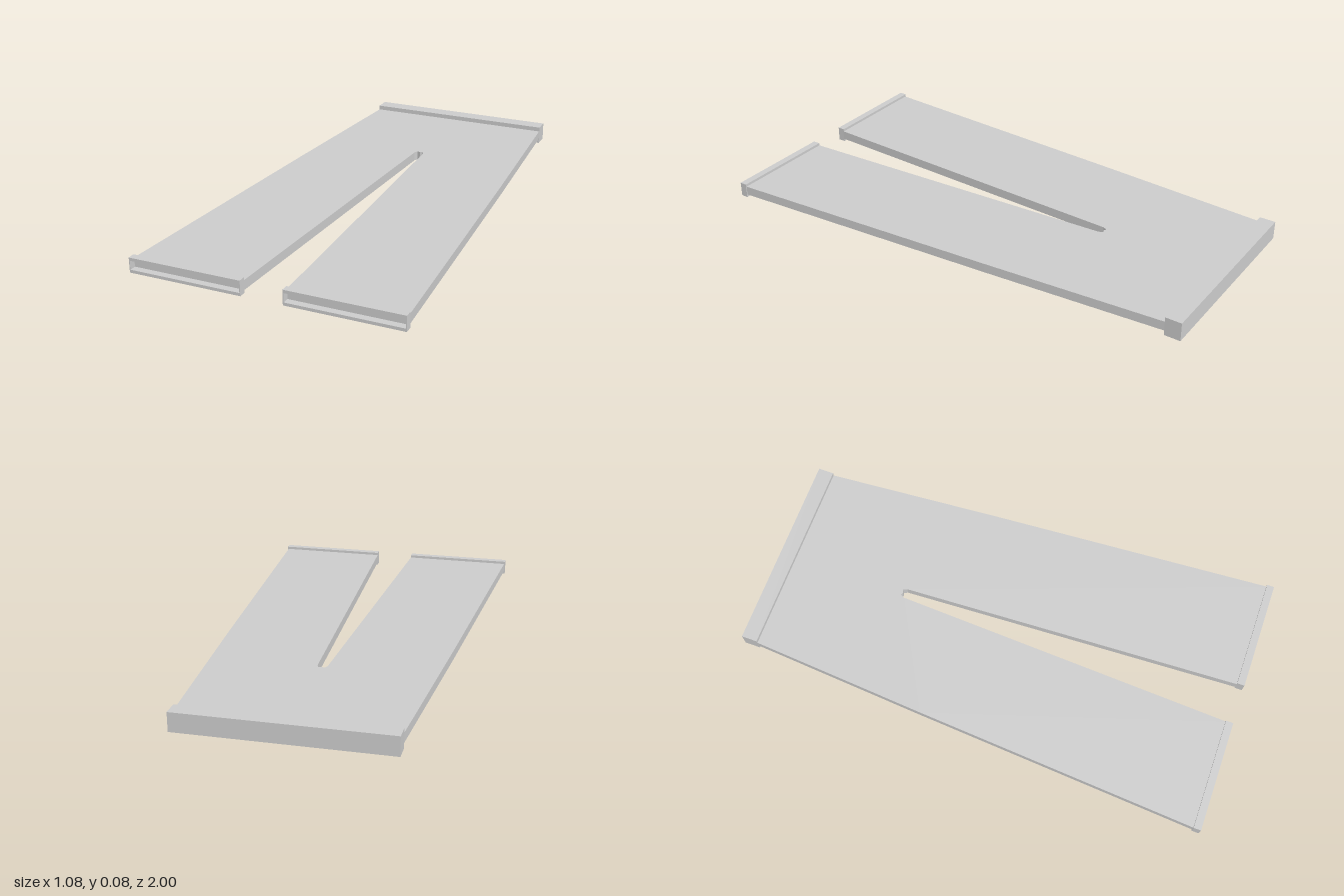
import * as THREE from 'three';

const MID_Y = 0.038; // mid height of the flat garment

export function createModel() {
  const group = new THREE.Group();
  const material = new THREE.MeshStandardMaterial({ color: 0xcccccc, flatShading: true });

  const add = (name, geometry, x, y, z) => {
    const mesh = new THREE.Mesh(geometry, material);
    mesh.name = name;
    mesh.position.set(x, y, z);
    group.add(mesh);
    return mesh;
  };

  // Flat trouser body: half outline as [x, z], mirrored across the centre
  const half = [[0, -0.452], [0.012, -0.457], [0.02, -0.44], [0.083, 0.972],
    [0.537, 0.972], [0.461, -0.2], [0.408, -0.94]];
  const mirrored = half.slice(1).reverse().map(([x, z]) => [-x, z]);
  const outline = [...half, ...mirrored].map(([x, z]) => new THREE.Vector2(x, -z));
  const thickness = 0.038;
  const body = new THREE.ExtrudeGeometry(new THREE.Shape(outline), { depth: thickness, bevelEnabled: false });
  body.rotateX(-Math.PI / 2);
  add('trouserBody', body, 0, MID_Y - thickness / 2, 0);

  // Thicker waistband across the back end
  add('waistband', new THREE.BoxGeometry(0.818, 0.076, 0.065), 0, MID_Y, -0.9675);

  // Open hem cuffs framing each leg end
  const rect = (target, w, h) => target
    .moveTo(-w / 2, -h / 2).lineTo(w / 2, -h / 2)
    .lineTo(w / 2, h / 2).lineTo(-w / 2, h / 2).closePath();
  const frame = rect(new THREE.Shape(), 0.457, 0.06);
  frame.holes.push(rect(new THREE.Path(), 0.45, 0.036));
  const cuff = new THREE.ExtrudeGeometry(frame, { depth: 0.03, bevelEnabled: false });
  for (const [name, side] of [['leftHem', 1], ['rightHem', -1]]) {
    add(name, cuff, side * 0.3115, MID_Y, 0.97);
  }

  return group;
}
